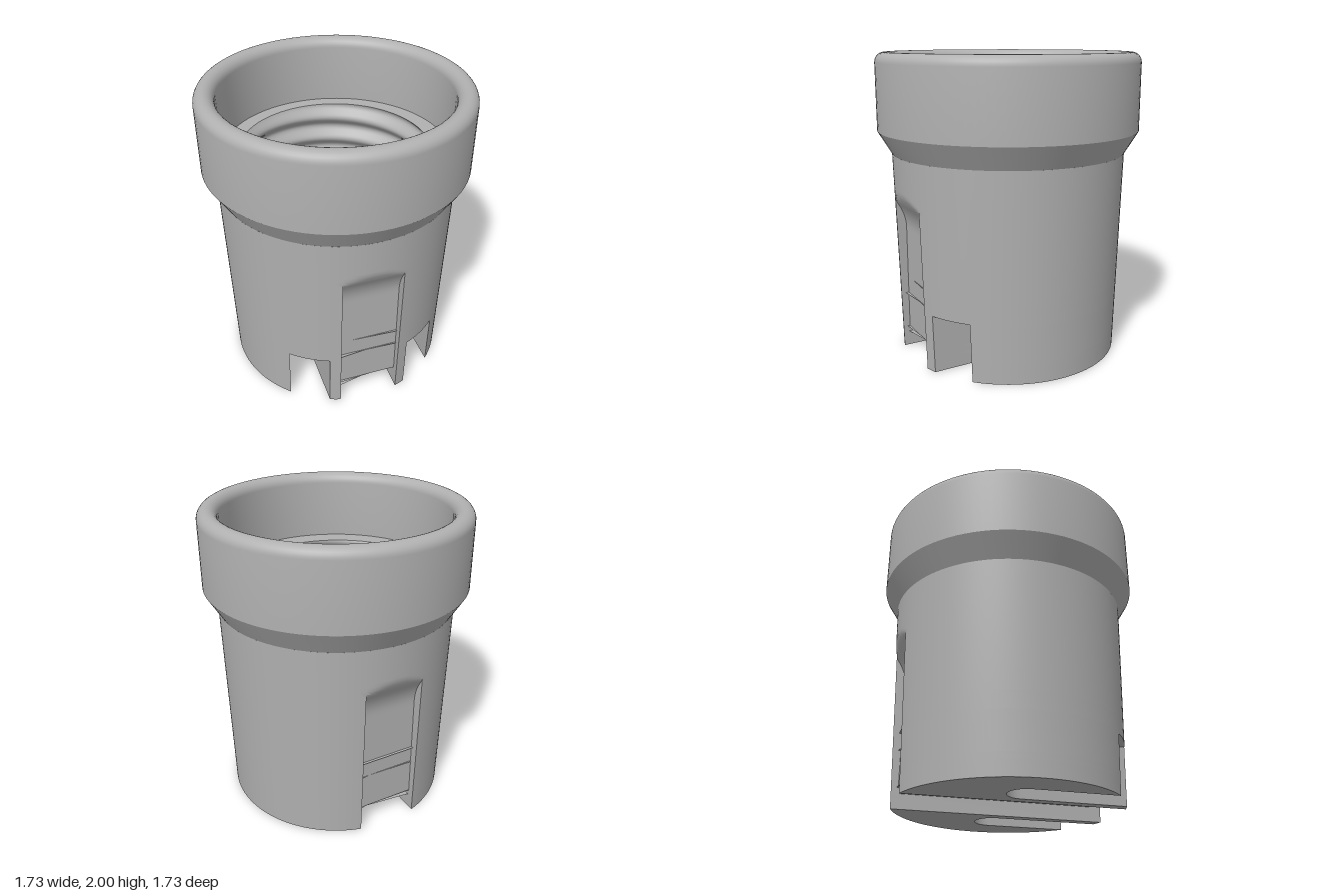
import * as THREE from 'three';
import { toCreasedNormals } from 'three/addons/utils/BufferGeometryUtils.js';

const R0 = 0.74;                                   // body radius at the foot
const radiusAt = y => R0 + 0.026 * y;              // slight draft of the body
const GROOVE_X = 0.2, SLOT_IN = 0.27, SLOT_OUT = 0.505;
const angleOf = x => Math.acos(x / R0);

// Depth of the front and back grooves at a given height
function grooveZ(y) {
  if (y < 0.14) return 0.63 + (y - 0.1);
  if (y < 0.85) return 0.67;
  if (y < 1.04) return 0.67 + 0.07 * ((y - 0.85) / 0.19) ** 2;
  return 0.74 + 0.45 * (y - 1.04);
}

// Plan points are [x, z]
function arc(a0, a1, n) {
  return Array.from({ length: n + 1 }, (_, i) => {
    const a = a0 + (a1 - a0) * i / n;
    return [R0 * Math.cos(a), R0 * Math.sin(a)];
  });
}

// Outline from the +x side round to the edge of the front groove
function quarter(slotted) {
  const a1 = angleOf(SLOT_OUT), a2 = angleOf(SLOT_IN), a3 = angleOf(GROOVE_X);
  const pts = arc(0, a1, 18);
  if (slotted) {
    const c = (SLOT_IN + SLOT_OUT) / 2, r = (SLOT_OUT - SLOT_IN) / 2;
    for (let i = 0; i <= 16; i++) {
      const t = Math.PI * i / 16;
      pts.push([c + r * Math.cos(t), -r * Math.sin(t)]);
    }
    pts.push(arc(a2, a3, 2)[0]);
  } else pts.push(...arc(a1, a2, 7).slice(1));
  pts.push(...arc(a2, a3, 2).slice(1));
  return pts;
}

function sideOutline(slotted) {
  const back = quarter(false).map(([x, z]) => [x, -z]).reverse();
  return [...back, ...quarter(slotted).slice(1)];
}

const mirrorX = pts => pts.map(([x, z]) => [-x, z]).reverse();

function fullOutline(slotted) {
  const side = sideOutline(slotted);
  const groove = s => Array.from({ length: 17 }, (_, i) => [s * GROOVE_X * (1 - i / 8), s * 0.69]);
  return [...side, ...groove(1), ...mirrorX(side), ...groove(-1)];
}

const toVec = ([x, z]) => new THREE.Vector2(x, -z);

function roundHole(r, z = 0, halfWidth = r) {
  const pts = [];
  for (let i = 0; i < 48; i++) {
    const a = 2 * Math.PI * i / 48;
    const x = Math.max(-halfWidth, Math.min(halfWidth, r * Math.cos(a)));
    pts.push(toVec([x, z + r * Math.sin(a)]));
  }
  return new THREE.Path(pts);
}

// Extrude a plan between two heights, then apply draft and groove depth
function layer(outline, y0, y1, holes = [], steps = 1) {
  const shape = new THREE.Shape(outline.map(toVec));
  shape.holes.push(...holes);
  const geo = new THREE.ExtrudeGeometry(shape, { depth: y1 - y0, steps, bevelEnabled: false });
  geo.rotateX(-Math.PI / 2).translate(0, y0, 0);
  const p = geo.attributes.position;
  for (let i = 0; i < p.count; i++) {
    let x = p.getX(i), z = p.getZ(i);
    const y = p.getY(i), h = Math.hypot(x, z), R = radiusAt(y);
    if (h < 0.68) continue;
    if (h < 0.735) z = Math.sign(z) * Math.min(grooveZ(y), Math.sqrt(R * R - x * x));
    else if (Math.abs(x) < 0.52) z = Math.sign(z) * Math.sqrt(R * R - x * x);
    else { x *= R / R0; z *= R / R0; }
    p.setXYZ(i, x, y, z);
  }
  return toCreasedNormals(geo, 0.5);
}

// Screw thread radius, a is the angle from +x towards -z
const LEDGE_Y = 1.55, FLOOR_Y = 0.5, PITCH = 0.165;
const threadR = (a, y) =>
  0.62 + 0.025 * Math.cos(2 * Math.PI * (y - LEDGE_Y) / PITCH - (a - Math.PI / 2));

function threadGeometry() {
  const geo = new THREE.PlaneGeometry(1, 1, 96, 100);
  const p = geo.attributes.position;
  for (let i = 0; i < p.count; i++) {
    const a = -2 * Math.PI * (p.getX(i) + 0.5);
    const y = FLOOR_Y + (LEDGE_Y - FLOOR_Y) * (p.getY(i) + 0.5);
    const r = threadR(a, y);
    p.setXYZ(i, r * Math.cos(a), y, -r * Math.sin(a));
  }
  return toCreasedNormals(geo, 1.2);
}

// Flat ring whose inner edge follows the thread
function ledgeGeometry() {
  const geo = new THREE.RingGeometry(0.6, 0.735, 96, 1);
  const p = geo.attributes.position;
  for (let i = 0; i < p.count; i++) {
    const x = p.getX(i), y = p.getY(i), a = Math.atan2(y, x);
    const r = Math.hypot(x, y) < 0.7 ? threadR(a, LEDGE_Y) : 0.735;
    p.setXY(i, r * Math.cos(a), r * Math.sin(a));
  }
  return geo.rotateX(-Math.PI / 2).translate(0, LEDGE_Y, 0);
}

// Collar: flare, outer wall, rounded rim, inner wall
function collarGeometry() {
  const pts = [[0.775, 1.35], [0.865, 1.5]];
  for (let i = 0; i <= 14; i++) {
    const t = Math.PI * i / 14;
    pts.push([0.8 + 0.065 * Math.cos(t), 1.935 + 0.065 * Math.sin(t)]);
  }
  pts.push([0.735, LEDGE_Y]);
  const geo = new THREE.LatheGeometry(pts.map(q => new THREE.Vector2(...q)), 96);
  return toCreasedNormals(geo, 0.5);
}

export function createModel() {
  const group = new THREE.Group();
  const grey = new THREE.MeshStandardMaterial({ color: 0xb0b0b0 });
  grey.name = 'grey plastic';
  const add = (name, geo) => {
    const mesh = new THREE.Mesh(geo, grey);
    mesh.name = name;
    group.add(mesh);
  };

  const pinHoles = () => [roundHole(0.1, 0.435, 0.085), roundHole(0.1, -0.435, 0.085)];
  const baseHoles = () => [...pinHoles(), roundHole(0.075)];

  // Feet either side of the bottom channel
  const foot = sideOutline(true);
  add('leftFoot', layer(foot, 0, 0.1));
  add('rightFoot', layer(mirrorX(foot), 0, 0.1));

  // Slotted base, with chamfered groove ends
  add('baseChamfer', layer(fullOutline(true), 0.1, 0.14, baseHoles()));
  add('slottedBase', layer(fullOutline(true), 0.14, 0.385, baseHoles()));

  // Socket floor and grooved body wall
  add('socketFloor', layer(fullOutline(false), 0.385, FLOOR_Y, pinHoles()));
  add('bodyWall', layer(fullOutline(false), FLOOR_Y, 1.35, [roundHole(0.655)], 34));

  // Collar and threaded interior
  add('collar', collarGeometry());
  add('innerLedge', ledgeGeometry());
  add('screwThread', threadGeometry());
  return group;
}
